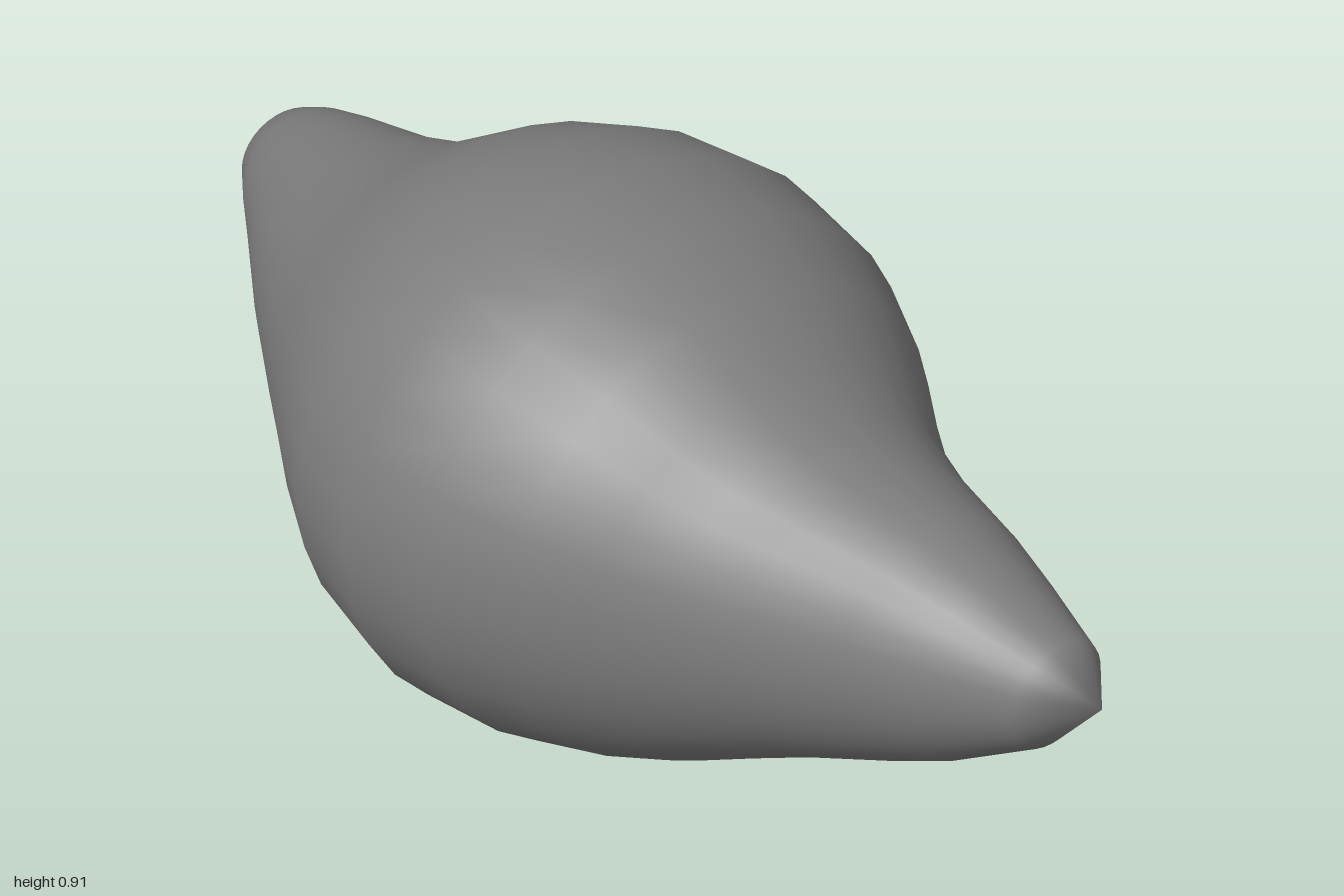
import * as THREE from 'three';

// Cross-sections along the length: [x, bottom y, top y, back z, front z]
const SECTIONS = [
  [-0.925, 0.393, 0.55, -0.17, 0.008],
  [-0.87, 0.345, 0.577, -0.195, 0.045],
  [-0.78, 0.295, 0.613, -0.207, 0.10],
  [-0.62, 0.235, 0.66, -0.238, 0.20],
  [-0.48, 0.181, 0.714, -0.28, 0.28],
  [-0.39, 0.13, 0.77, -0.332, 0.33],
  [-0.28, 0.076, 0.838, -0.405, 0.393],
  [-0.15, 0.027, 0.886, -0.466, 0.456],
  [0, 0.002, 0.908, -0.485, 0.481],
  [0.15, 0.027, 0.886, -0.461, 0.459],
  [0.28, 0.073, 0.84, -0.395, 0.402],
  [0.38, 0.12, 0.783, -0.327, 0.338],
  [0.47, 0.172, 0.733, -0.271, 0.274],
  [0.56, 0.222, 0.709, -0.235, 0.222],
  [0.70, 0.293, 0.682, -0.197, 0.16],
  [0.80, 0.35, 0.655, -0.163, 0.114],
  [0.925, 0.44, 0.609, -0.118, 0.048],
];
const TIPS = [[-1, 0.47, -0.108], [1, 0.54, -0.047]];
const SIDES = 32;

// Loft of elliptical rings, closed by a blunt point at each end
function spindleGeometry() {
  const pos = [], index = [];
  for (const [x, y0, y1, z0, z1] of SECTIONS) {
    for (let j = 0; j < SIDES; j++) {
      const t = (j / SIDES) * Math.PI * 2;
      pos.push(
        x,
        (y0 + y1) / 2 + Math.cos(t) * (y1 - y0) / 2,
        (z0 + z1) / 2 + Math.sin(t) * (z1 - z0) / 2
      );
    }
  }
  const last = (SECTIONS.length - 1) * SIDES;
  const startTip = last + SIDES, endTip = startTip + 1;
  pos.push(...TIPS[0], ...TIPS[1]);

  for (let j = 0; j < SIDES; j++) {
    const k = (j + 1) % SIDES;
    for (let r = 0; r < last; r += SIDES) {
      const a = r + j, d = r + k, b = a + SIDES, c = d + SIDES;
      index.push(a, d, b, b, d, c);
    }
    index.push(startTip, k, j, endTip, last + j, last + k);
  }

  const g = new THREE.BufferGeometry();
  g.setAttribute('position', new THREE.Float32BufferAttribute(pos, 3));
  g.setIndex(index);
  g.computeVertexNormals();
  return g;
}

export function createModel() {
  const group = new THREE.Group();
  group.name = 'spindle';
  // Round belly with two tapering, slightly skewed ends
  const body = new THREE.Mesh(
    spindleGeometry(),
    new THREE.MeshStandardMaterial({ color: 0x7c7c7c })
  );
  body.name = 'body';
  group.add(body);
  return group;
}
